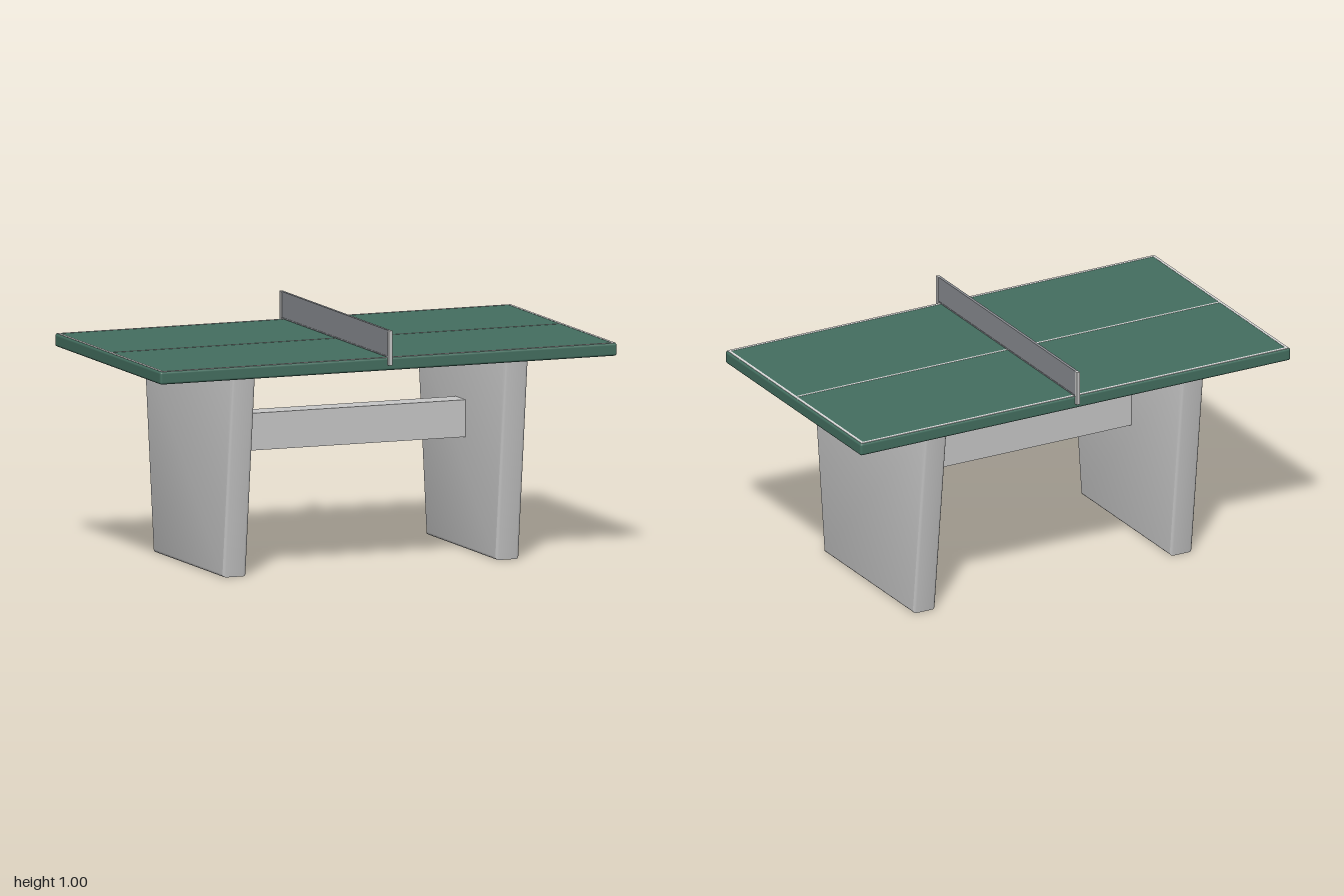
import * as THREE from 'three';
import { toCreasedNormals } from 'three/addons/utils/BufferGeometryUtils.js';
import { RoundedBoxGeometry } from 'three/addons/geometries/RoundedBoxGeometry.js';

function material(name, color) {
  const m = new THREE.MeshStandardMaterial({ color });
  m.name = name;
  return m;
}

export function createModel() {
  const group = new THREE.Group();
  const concrete = material('concrete', 0xc8c8c8);
  const green = material('tableGreen', 0x446f60);
  const white = material('lineWhite', 0xdcdcdc);
  const netGrey = material('netGrey', 0x8a8d92);

  const add = (name, geometry, mat, x, y, z) => {
    const mesh = new THREE.Mesh(geometry, mat);
    mesh.name = name;
    mesh.position.set(x, y, z);
    group.add(mesh);
  };
  const box = (name, mat, w, h, d, x, y, z) =>
    add(name, new THREE.BoxGeometry(w, h, d), mat, x, y, z);

  // Table top with softened edges
  const top = 0.888;
  add('tableTop', new RoundedBoxGeometry(2, 0.053, 1.11, 3, 0.01), green, 0, top - 0.0265, 0);

  // Painted lines: border and centre line
  for (const s of [-1, 1]) {
    box('endLine', white, 0.012, 0.002, 1.1, s * 0.987, top, 0);
    box('sideLine', white, 1.962, 0.002, 0.012, 0, top, s * 0.544);
  }
  box('centreLine', white, 1.962, 0.002, 0.009, 0, top, 0);

  // Tapered slab legs with bevelled edges
  const b = 0.014;
  const outline = new THREE.Shape([
    new THREE.Vector2(-0.368 + b, b),
    new THREE.Vector2(0.368 - b, b),
    new THREE.Vector2(0.465 - b, 0.836 - b),
    new THREE.Vector2(-0.465 + b, 0.836 - b),
  ]);
  const legGeometry = toCreasedNormals(
    new THREE.ExtrudeGeometry(outline, {
      depth: 0.104 - 2 * b, bevelEnabled: true, bevelSize: b, bevelThickness: b, bevelSegments: 3,
    }).translate(0, 0, -0.052 + b).rotateY(Math.PI / 2), 0.6);
  for (const s of [-1, 1]) add(s > 0 ? 'leftLeg' : 'rightLeg', legGeometry, concrete, s * 0.597, 0, 0);

  // Cross beam between the legs
  box('crossBeam', concrete, 1.1, 0.152, 0.1, 0, 0.535, 0);

  // Net with its cords and end posts
  box('net', netGrey, 0.009, 0.106, 1.116, 0, 0.943, 0);
  box('netTopCord', netGrey, 0.012, 0.006, 1.116, 0, 0.997, 0);
  box('netBottomCord', netGrey, 0.012, 0.005, 1.116, 0, 0.892, 0);
  for (const s of [-1, 1]) box('netPost', concrete, 0.014, 0.142, 0.016, 0, 0.929, s * 0.566);

  return group;
}
